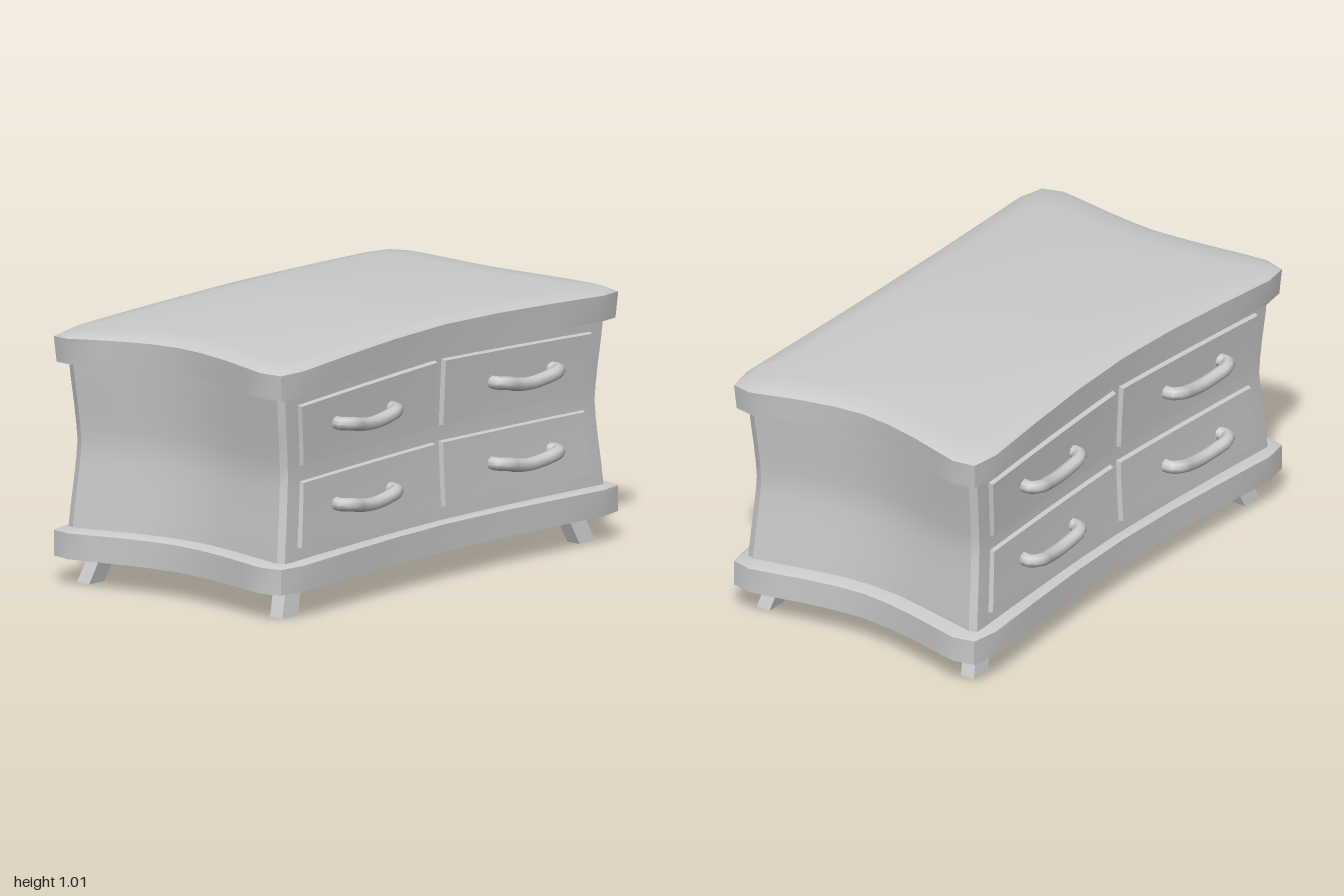
import * as THREE from 'three';
import { toCreasedNormals } from 'three/addons/utils/BufferGeometryUtils.js';

const material = new THREE.MeshStandardMaterial({ color: 0xcccccc });

function part(name, geometry, crease = 0.5) {
  const mesh = new THREE.Mesh(toCreasedNormals(geometry, crease), material);
  mesh.name = name;
  return mesh;
}

// Mirrors a quarter outline (front middle to side middle) into a full loop of [x, z]
function fullOutline(q) {
  const back = [...q].reverse();
  return [
    ...q,
    ...back.slice(1).map(([x, z]) => [x, -z]),
    ...q.slice(1).map(([x, z]) => [-x, -z]),
    ...back.slice(1, -1).map(([x, z]) => [-x, z]),
  ];
}

// Closed skin over rings of points listed from bottom to top
function loft(rings) {
  const n = rings[0].length, pos = [], idx = [];
  rings.forEach(r => r.forEach(p => pos.push(...p)));
  for (let r = 0; r < rings.length - 1; r++) {
    for (let i = 0; i < n; i++) {
      const a = r * n + i, b = r * n + (i + 1) % n;
      idx.push(a, b, b + n, a, b + n, a + n);
    }
  }
  [0, rings.length - 1].forEach((r, cap) => {
    const centre = pos.length / 3;
    pos.push(0, rings[r].reduce((s, p) => Math.max(s, p[1]), 0), 0);
    for (let i = 0; i < n; i++) {
      const a = r * n + i, b = r * n + (i + 1) % n;
      idx.push(centre, cap ? a : b, cap ? b : a);
    }
  });
  const g = new THREE.BufferGeometry();
  g.setAttribute('position', new THREE.Float32BufferAttribute(pos, 3));
  g.setIndex(idx);
  return g;
}

// Gentle dome shared by the slabs
const dome = (x, z) =>
  0.033 * (1 - Math.min(1, Math.abs(x)) ** 1.5) + 0.02 * (1 - Math.min(1, Math.abs(z) / 0.57) ** 2);

const slabOutline = fullOutline([
  [0, 0.533], [0.3, 0.54], [0.6, 0.557], [0.87, 0.575], [0.98, 0.555],
  [1, 0.47], [0.977, 0.36], [0.952, 0.25], [0.93, 0.12], [0.92, 0],
]);

// Each layer: [outline scale, height, share of the dome]
function slab(name, layers) {
  return part(name, loft(layers.map(([s, y, d]) =>
    slabOutline.map(([x, z]) => [x * s, y + d * dome(x * s, z * s), z * s]))));
}

// Waist of the body: 1 at mid height, 0 at top and bottom
const waist = y => 1 - Math.min(1, Math.abs(y - 0.54) / 0.32) ** 1.3;
const frontZ = (x, y) => (0.5 + 0.03 * (Math.abs(x) / 0.88) ** 1.5) * (1 - 0.03 * waist(y));

function body() {
  const outline = fullOutline([
    ...[0, 0.22, 0.44, 0.66, 0.88].map(x => [x, frontZ(x, 0.2)]),
    [0.928, 0.53], [0.94, 0.5], [0.915, 0.36], [0.89, 0.24], [0.87, 0.12], [0.863, 0],
  ]);
  const heights = [0.19, 0.3, 0.4, 0.48, 0.54, 0.6, 0.68, 0.78, 0.89];
  return part('body', loft(heights.map(y => outline.map(([x, z]) =>
    [x * (1 - 0.04 * waist(y)), y, z * (1 - 0.03 * waist(y))]))));
}

// Drawer front bent to the body's curve, with a bevelled rim
function drawer(side, low, high, rise) {
  const g = new THREE.BoxGeometry(1, 1, 1, 8, 6, 1);
  const p = g.attributes.position;
  for (let i = 0; i < p.count; i++) {
    const outer = p.getZ(i) > 0;
    let u = p.getX(i) * (outer ? 0.965 : 1) + 0.5;
    const v = p.getY(i) * (outer ? 0.9 : 1) + 0.5;
    if (side < 0) u = 1 - u;
    const tent = 1 - u;
    const y = THREE.MathUtils.lerp(low + 0.01 * tent, high + rise * tent, v);
    const x = (0.01 + 0.855 * u) * (1 - 0.04 * waist(y));
    p.setXYZ(i, side * x, y, frontZ(x, y) + (outer ? 0.018 : -0.03));
  }
  return part('drawerFront', g, 0.3);
}

// Sagging bow handle
function handle(side, y) {
  const path = new THREE.CatmullRomCurve3([
    [0.615, 0, 0.5], [0.628, 0, 0.555], [0.595, -0.002, 0.58], [0.53, -0.017, 0.571],
    [0.45, -0.024, 0.563], [0.38, -0.016, 0.563], [0.325, -0.002, 0.565],
    [0.295, 0, 0.54], [0.3, 0, 0.49],
  ].map(([x, dy, z]) => new THREE.Vector3(side * x, y + dy, z)));
  return part('handle', new THREE.TubeGeometry(path, 24, 0.026, 8), 0.9);
}

// Splayed leg: a box sheared outwards towards the floor
function leg(sx, sz) {
  const g = new THREE.BoxGeometry(0.09, 0.13, 0.06);
  g.translate(0, 0.065, 0);
  const p = g.attributes.position;
  for (let i = 0; i < p.count; i++) {
    const t = p.getY(i) / 0.107;
    p.setX(i, p.getX(i) + sx * (0.864 - 0.045 * t));
    p.setZ(i, p.getZ(i) + sz * (0.472 - 0.021 * t));
  }
  return part('leg', g);
}

export function createModel() {
  const model = new THREE.Group();
  model.name = 'chestOfDrawers';

  model.add(body());
  model.add(slab('baseSlab', [
    [0.6, 0.109, 0], [1, 0.107, 0.1], [1, 0.205, 0.3], [0.975, 0.213, 0.3], [0.8, 0.215, 0.3],
  ]));
  model.add(slab('topSlab', [
    [0.6, 0.845, 1], [0.85, 0.845, 1], [0.99, 0.845, 1], [1, 0.945, 1],
    [0.96, 0.958, 1], [0.85, 0.961, 1], [0.6, 0.962, 1], [0.3, 0.962, 1],
  ]));

  // Drawers and handles on both long faces
  for (const turn of [0, Math.PI]) {
    const face = new THREE.Group();
    face.name = turn ? 'backDrawers' : 'frontDrawers';
    face.rotation.y = turn;
    for (const side of [-1, 1]) {
      face.add(drawer(side, 0.565, 0.818, 0.032), handle(side, 0.708));
      face.add(drawer(side, 0.255, 0.522, 0.012), handle(side, 0.398));
    }
    model.add(face);
  }

  for (const sx of [-1, 1]) for (const sz of [-1, 1]) model.add(leg(sx, sz));
  return model;
}
